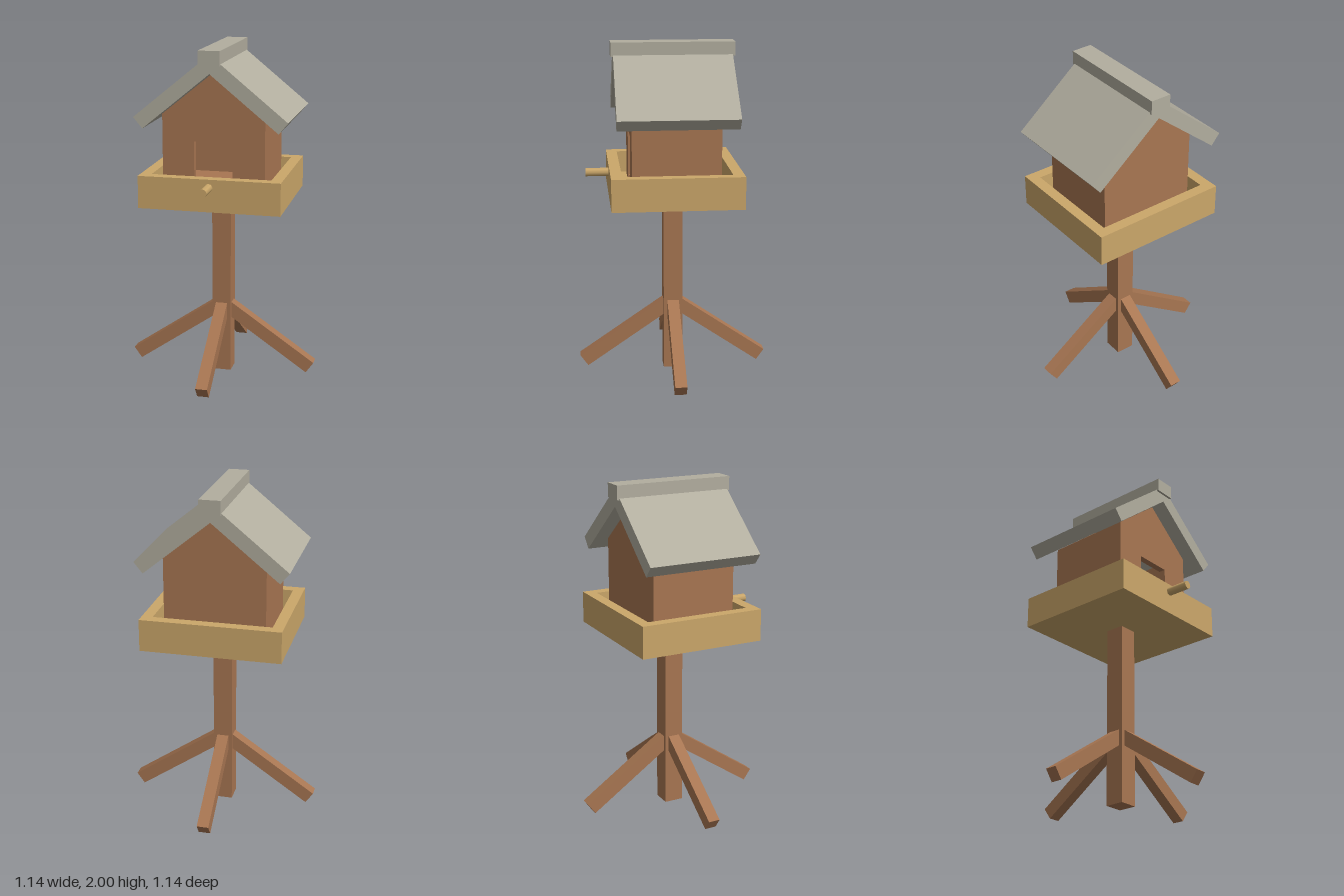
import * as THREE from 'three';

const paint = (name, color) => {
  const m = new THREE.MeshStandardMaterial({ color });
  m.name = name;
  return m;
};

export function createModel() {
  const model = new THREE.Group();
  model.name = 'birdFeeder';
  const brown = paint('brownWood', 0xa87652);
  const tan = paint('tanWood', 0xcba76a);
  const grey = paint('greyRoof', 0xb2ae9f);

  const add = (name, geometry, material, parent = model) => {
    const mesh = new THREE.Mesh(geometry, material);
    mesh.name = name;
    parent.add(mesh);
    return mesh;
  };
  // Box given by its lower and upper limits on each axis
  const box = (x0, x1, y0, y1, z0, z1) =>
    new THREE.BoxGeometry(x1 - x0, y1 - y0, z1 - z0)
      .translate((x0 + x1) / 2, (y0 + y1) / 2, (z0 + z1) / 2);
  // Outline in x and y, extruded from z0 to z1
  const outline = (pts) => new THREE.Shape(pts.map(([x, y]) => new THREE.Vector2(x, y)));
  const prism = (pts, z0, z1) =>
    new THREE.ExtrudeGeometry(outline(pts), { depth: z1 - z0, bevelEnabled: false }).translate(0, 0, z0);

  // Post and four sloping legs
  add('post', box(-0.057, 0.057, 0, 1.1, -0.057, 0.057), brown);
  const legGeometry = prism([[0.005, 0.375], [0.522, 0.02], [0.568, 0.085], [0.05, 0.44]], -0.035, 0.035);
  for (let i = 0; i < 4; i++) {
    add('leg', legGeometry, brown).rotation.y = (i * Math.PI) / 2;
  }

  // Tray: rim with an open top, floor and perch
  const X = 0.415, Z = 0.38, T = 0.065;
  const rim = outline([[-X, -Z], [X, -Z], [X, Z], [-X, Z]]);
  const x = X - T, z = Z - T;
  rim.holes.push(outline([[-x, -z], [-x, z], [x, z], [x, -z]]));
  add('trayRim', new THREE.ExtrudeGeometry(rim, { depth: 0.19, bevelEnabled: false })
    .rotateX(-Math.PI / 2).translate(0, 1.09, 0), tan);
  add('trayFloor', box(-x, x, 1.09, 1.15, -z, z), tan);
  add('perch', new THREE.CylinderGeometry(0.025, 0.025, 0.155, 8)
    .rotateX(Math.PI / 2).translate(0, 1.232, 0.4375), tan);

  // Hollow house with a doorway in the front wall
  const house = new THREE.Group();
  house.name = 'house';
  model.add(house);
  const W = 0.3, D = 0.257, t = 0.04, base = 1.15, eave = 1.622, peak = 1.866;
  add('frontWall', prism([
    [-W, base], [-0.113, base], [-0.113, 1.47], [0.113, 1.47], [0.113, base],
    [W, base], [W, eave], [0, peak], [-W, eave],
  ], D - t, D), brown, house);
  add('backWall', prism([[-W, base], [W, base], [W, eave], [0, peak], [-W, eave]], -D, -D + t), brown, house);
  for (const s of [-1, 1]) {
    const c = s * (W - t / 2);
    add('sideWall', box(c - t / 2, c + t / 2, base, eave, -D + t, D - t), brown, house);
  }
  add('houseFloor', box(-W + t, W - t, base, 1.19, -D + t, D - 0.005), brown, house);

  // Two mitred roof slabs and the ridge cap
  const slab = prism([[0, 1.87], [0.393, 1.549], [0.446, 1.613], [0, 1.977]], -0.346, 0.346);
  add('roofSlab', slab, grey);
  add('roofSlab', slab, grey).rotation.y = Math.PI;
  add('ridgeCap', box(-0.0625, 0.0625, 1.917, 2, -0.36, 0.36), grey);

  return model;
}
